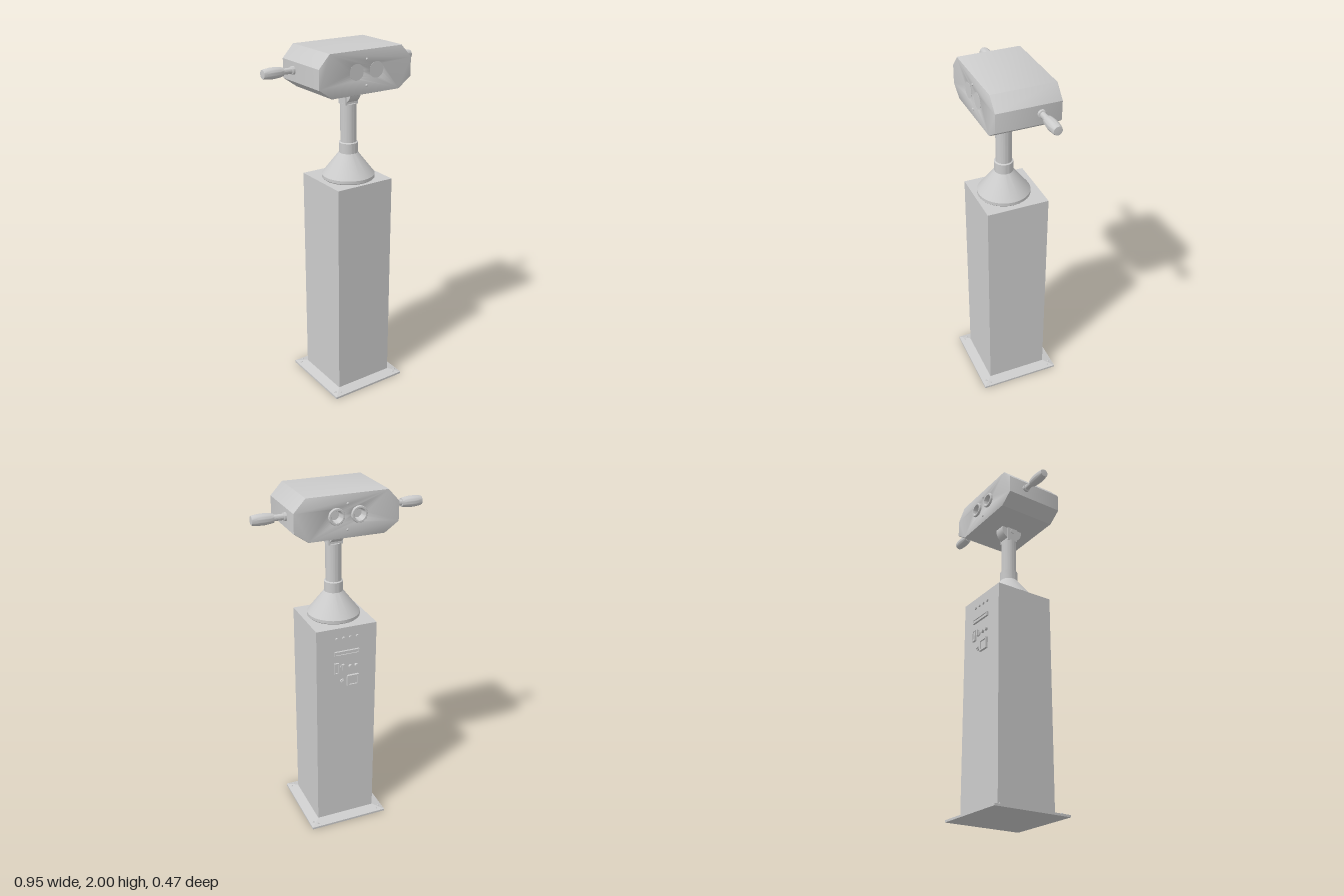
import * as THREE from 'three';
import { toCreasedNormals } from 'three/addons/utils/BufferGeometryUtils.js';

export function createModel() {
  const model = new THREE.Group();
  model.name = 'viewingStation';
  const grey = new THREE.MeshStandardMaterial({ color: 0xcccccc });

  const add = (name, geometry, x = 0, y = 0, z = 0, parent = model) => {
    const mesh = new THREE.Mesh(geometry, grey);
    mesh.name = name;
    mesh.position.set(x, y, z);
    parent.add(mesh);
    return mesh;
  };
  const box = (w, h, d) => new THREE.BoxGeometry(w, h, d);
  const cylZ = (r, len, sides = 24) => new THREE.CylinderGeometry(r, r, len, sides).rotateX(Math.PI / 2);
  const lathe = (points, sides = 48) => toCreasedNormals(
    new THREE.LatheGeometry(points.map(([r, y]) => new THREE.Vector2(r, y)), sides), 0.5);
  // Square frustum given by its half widths
  const frustum = (top, bottom, h) => new THREE.CylinderGeometry(
    top * Math.SQRT2, bottom * Math.SQRT2, h, 4).rotateY(Math.PI / 4).toNonIndexed();
  const flat = (g) => { g.computeVertexNormals(); return g; };
  const dome = (r) => new THREE.SphereGeometry(r, 12, 6, 0, Math.PI * 2, 0, Math.PI / 2);

  // Base plate with sloped top and anchor bolts
  add('basePlate', box(0.47, 0.012, 0.47), 0, 0.006, 0);
  add('basePlateSlope', flat(frustum(0.18, 0.234, 0.015)), 0, 0.0195, 0);
  for (const sx of [-1, 1]) for (const sz of [-1, 1]) {
    add('anchorBolt', dome(0.007), sx * 0.192, 0.016, sz * 0.212);
    add('anchorBolt', dome(0.007), sx * 0.215, 0.015, sz * 0.192);
  }

  // Square column
  add('column', box(0.354, 1.25, 0.354), 0, 0.645, 0);

  // Conical foot, collar and pipe
  const neckZ = 0.012;
  add('neck', lathe([
    [0, 1.268], [0.14, 1.268], [0.147, 1.275], [0.147, 1.292], [0.141, 1.3],
    [0.052, 1.415], [0.052, 1.472], [0.044, 1.476], [0.044, 1.69], [0, 1.69],
  ]), 0, 0, neckZ);

  // Tilt joint: tongue between the pipe and a round knuckle
  add('tiltTongue', box(0.082, 0.09, 0.064), 0, 1.73, neckZ);
  add('tiltKnuckle', new THREE.CylinderGeometry(0.069, 0.069, 0.066, 40).rotateZ(Math.PI / 2), 0, 1.762, neckZ);
  add('tiltPin', new THREE.CylinderGeometry(0.014, 0.014, 0.094, 16).rotateZ(Math.PI / 2), 0, 1.75, neckZ);

  // Eight-sided head with two optical bores
  const eyeX = 0.062, eyeY = 1.89, bevel = 0.005;
  const outline = new THREE.Shape([
    [-0.208, 1.775], [0.208, 1.775], [0.284, 1.828], [0.284, 1.928],
    [0.222, 1.995], [-0.222, 1.995], [-0.284, 1.928], [-0.284, 1.828],
  ].map(([x, y]) => new THREE.Vector2(x, y)));
  for (const s of [-1, 1]) {
    const bore = new THREE.Path();
    bore.absarc(s * eyeX, eyeY, 0.042, 0, Math.PI * 2, true);
    outline.holes.push(bore);
  }
  const headGeo = new THREE.ExtrudeGeometry(outline, {
    depth: 0.354 - 2 * bevel, bevelEnabled: true, bevelSize: bevel,
    bevelThickness: bevel, bevelSegments: 2, curveSegments: 32,
  });
  headGeo.translate(0, 0, -0.177 + bevel);
  add('head', toCreasedNormals(headGeo, 0.5));

  for (const s of [-1, 1]) {
    // Flush front window and rear eyepiece
    add('frontWindow', cylZ(0.043, 0.02, 40), s * eyeX, eyeY, 0.168);
    const ring = lathe([
      [0.034, 0.135], [0.044, 0.15], [0.044, 0.186], [0.041, 0.19],
      [0.033, 0.19], [0.029, 0.183], [0.025, 0.14],
    ], 40).rotateX(-Math.PI / 2);
    add('eyepieceRing', ring, s * eyeX, eyeY, 0);
    add('eyepieceLens', cylZ(0.036, 0.01, 32), s * eyeX, eyeY, -0.145);

    // Screws on the front and back faces
    for (const y of [1.95, 1.815]) {
      const screw = dome(0.007).rotateX(s * Math.PI / 2);
      add('headScrew', screw, 0, y, s * 0.176);
    }

    // Side handle: socket, rod and swelling grip
    const handle = lathe([
      [0, 0.28], [0.022, 0.28], [0.022, 0.302], [0.016, 0.304], [0.016, 0.354],
      [0.023, 0.355], [0.027, 0.375], [0.03, 0.405], [0.0295, 0.43],
      [0.026, 0.462], [0.023, 0.471], [0, 0.473],
    ], 32).rotateZ(-s * Math.PI / 2);
    add(s > 0 ? 'leftHandle' : 'rightHandle', handle, 0, 1.885, -0.065);
  }

  // Control panel on the back of the column
  const panel = new THREE.Group();
  panel.name = 'controlPanel';
  panel.position.z = -0.177;
  model.add(panel);
  const knob = (name, r, x, y, len = 0.016) => add(name, cylZ(r, len, 20), x, y, -len / 2, panel);
  const frame = (name, w, h, t, x, y, d) => {
    for (const s of [-1, 1]) {
      add(name, box(w, t, d), x, y + s * (h - t) / 2, -d / 2, panel);
      add(name, box(t, h - 2 * t, d), x + s * (w - t) / 2, y, -d / 2, panel);
    }
  };
  for (let i = 0; i < 4; i++) knob('indicatorLamp', 0.009, 0.058 - i * 0.04, 1.208, 0.009);
  frame('slotFrame', 0.145, 0.026, 0.006, 0, 1.12, 0.012);
  add('slotPlate', box(0.135, 0.016, 0.006), 0, 1.12, -0.003, panel);
  frame('switchFrame', 0.028, 0.066, 0.006, 0.062, 1.03, 0.012);
  add('switchRocker', box(0.016, 0.05, 0.008), 0.062, 1.03, -0.004, panel);
  knob('selectorBase', 0.017, 0.022, 1.033, 0.006);
  add('selectorGrip', box(0.01, 0.036, 0.016), 0.022, 1.033, -0.008, panel);
  for (const x of [-0.022, -0.058]) knob('pushButton', 0.011, x, 1.03, 0.014);
  frame('hatchFrame', 0.068, 0.066, 0.009, -0.036, 0.943, 0.014);
  add('hatchPlate', box(0.054, 0.052, 0.006), -0.036, 0.943, -0.003, panel);
  knob('lockBase', 0.015, 0.025, 0.943, 0.008);
  knob('lockCore', 0.009, 0.025, 0.943, 0.016);

  return model;
}
